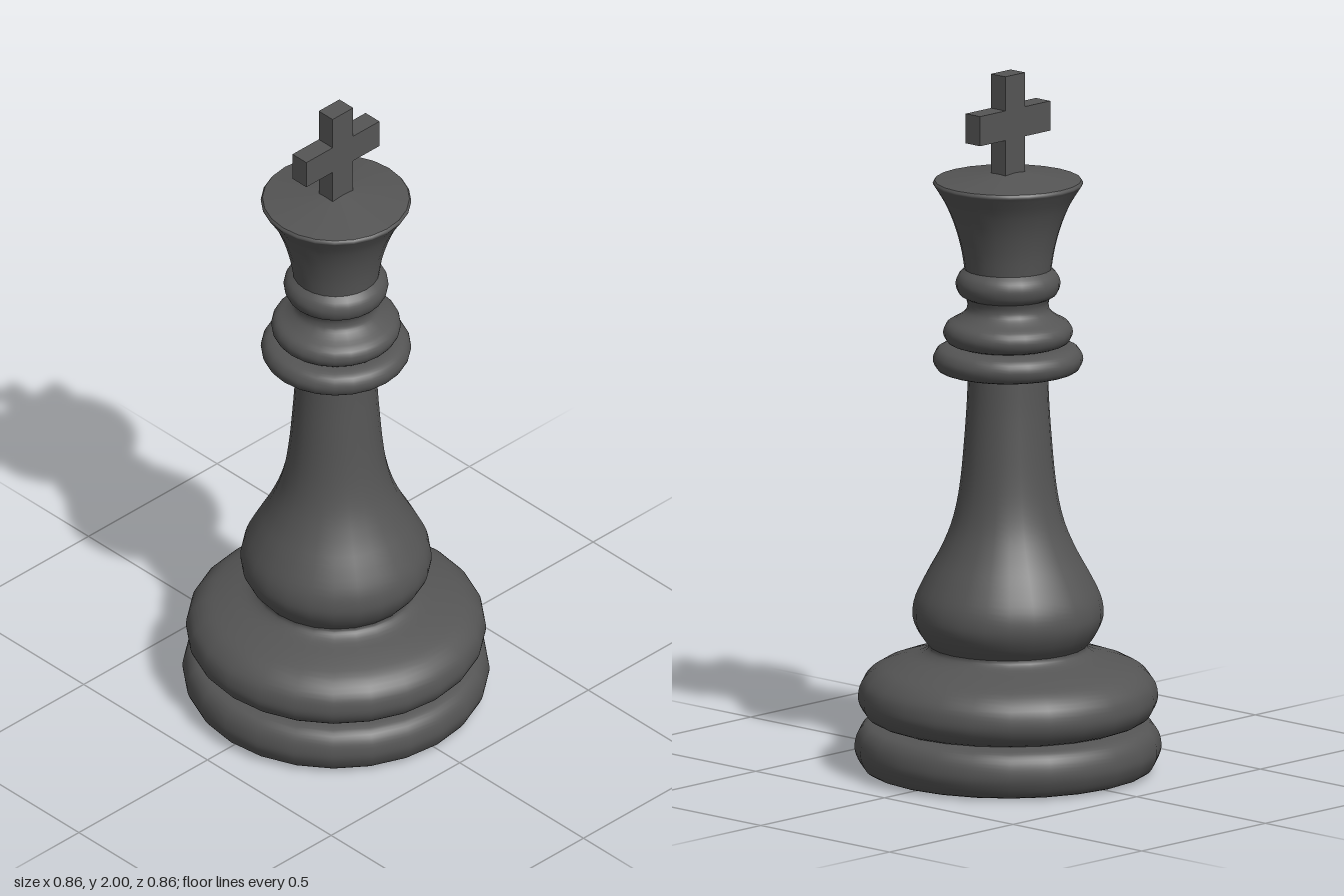
import * as THREE from 'three';

const material = new THREE.MeshStandardMaterial({ color: 0x555555 });
const SIDES = 24;

// Lathe a smooth curve through [radius, height] points, listed bottom to top
function turned(name, points, steps = points.length * 3) {
  const curve = new THREE.SplineCurve(points.map(([r, y]) => new THREE.Vector2(r, y)));
  const profile = curve.getPoints(steps).map((p) => p.setX(Math.max(p.x, 0)));
  const mesh = new THREE.Mesh(new THREE.LatheGeometry(profile, SIDES), material);
  mesh.name = name;
  return mesh;
}

// Flat or slightly conical cap between two radii
function cap(name, r0, y0, r1, y1) {
  const points = [new THREE.Vector2(r0, y0), new THREE.Vector2(r1, y1)];
  const mesh = new THREE.Mesh(new THREE.LatheGeometry(points, SIDES), material);
  mesh.name = name;
  return mesh;
}

// Plus-shaped finial with a small thickness
function cross() {
  const w = 0.04, a = 0.142, low = 1.7, armLow = 1.817, armHigh = 1.902, top = 2;
  const half = [[w, low], [w, armLow], [a, armLow], [a, armHigh], [w, armHigh], [w, top]];
  const outline = [...half, ...half.map(([x, y]) => [-x, y]).reverse()];
  const shape = new THREE.Shape(outline.map(([x, y]) => new THREE.Vector2(x, y)));
  const geometry = new THREE.ExtrudeGeometry(shape, { depth: 0.056, bevelEnabled: false });
  geometry.translate(0, 0, -0.028);
  const mesh = new THREE.Mesh(geometry, material);
  mesh.name = 'cross';
  return mesh;
}

export function createModel() {
  const group = new THREE.Group();
  group.name = 'chessKing';
  group.add(
    // Foot: two stacked rounded discs
    cap('underside', 0, 0, 0.37, 0),
    turned('baseRing', [[0.37, 0], [0.405, 0.012], [0.425, 0.045], [0.43, 0.075], [0.422, 0.11], [0.4, 0.135], [0.36, 0.145]]),
    turned('baseDome', [[0.36, 0.145], [0.395, 0.16], [0.416, 0.19], [0.42, 0.222], [0.408, 0.26], [0.37, 0.295],
      [0.31, 0.318], [0.25, 0.335], [0.226, 0.35], [0.222, 0.362]]),
    // Bulb running up into the slender stem
    turned('stem', [[0.222, 0.362], [0.245, 0.39], [0.263, 0.425], [0.268, 0.46], [0.259, 0.505], [0.23, 0.565],
      [0.194, 0.63], [0.163, 0.7], [0.144, 0.77], [0.132, 0.85], [0.123, 0.95], [0.116, 1.05], [0.112, 1.145]]),
    // Collars
    cap('collarUnderside', 0.112, 1.145, 0.175, 1.145),
    turned('lowerCollar', [[0.175, 1.145], [0.2, 1.155], [0.211, 1.182], [0.2, 1.208], [0.175, 1.22], [0.145, 1.222]]),
    turned('middleCollar', [[0.145, 1.222], [0.17, 1.232], [0.182, 1.257], [0.172, 1.283], [0.14, 1.302],
      [0.119, 1.32], [0.114, 1.34], [0.119, 1.358]]),
    turned('upperCollar', [[0.119, 1.358], [0.138, 1.37], [0.147, 1.397], [0.14, 1.422], [0.122, 1.44]]),
    // Flared head with a shallow conical top
    turned('head', [[0.122, 1.44], [0.132, 1.5], [0.15, 1.565], [0.175, 1.625], [0.203, 1.672], [0.211, 1.685], [0.206, 1.694]]),
    cap('headTop', 0.206, 1.694, 0, 1.722),
    cross(),
  );
  return group;
}
